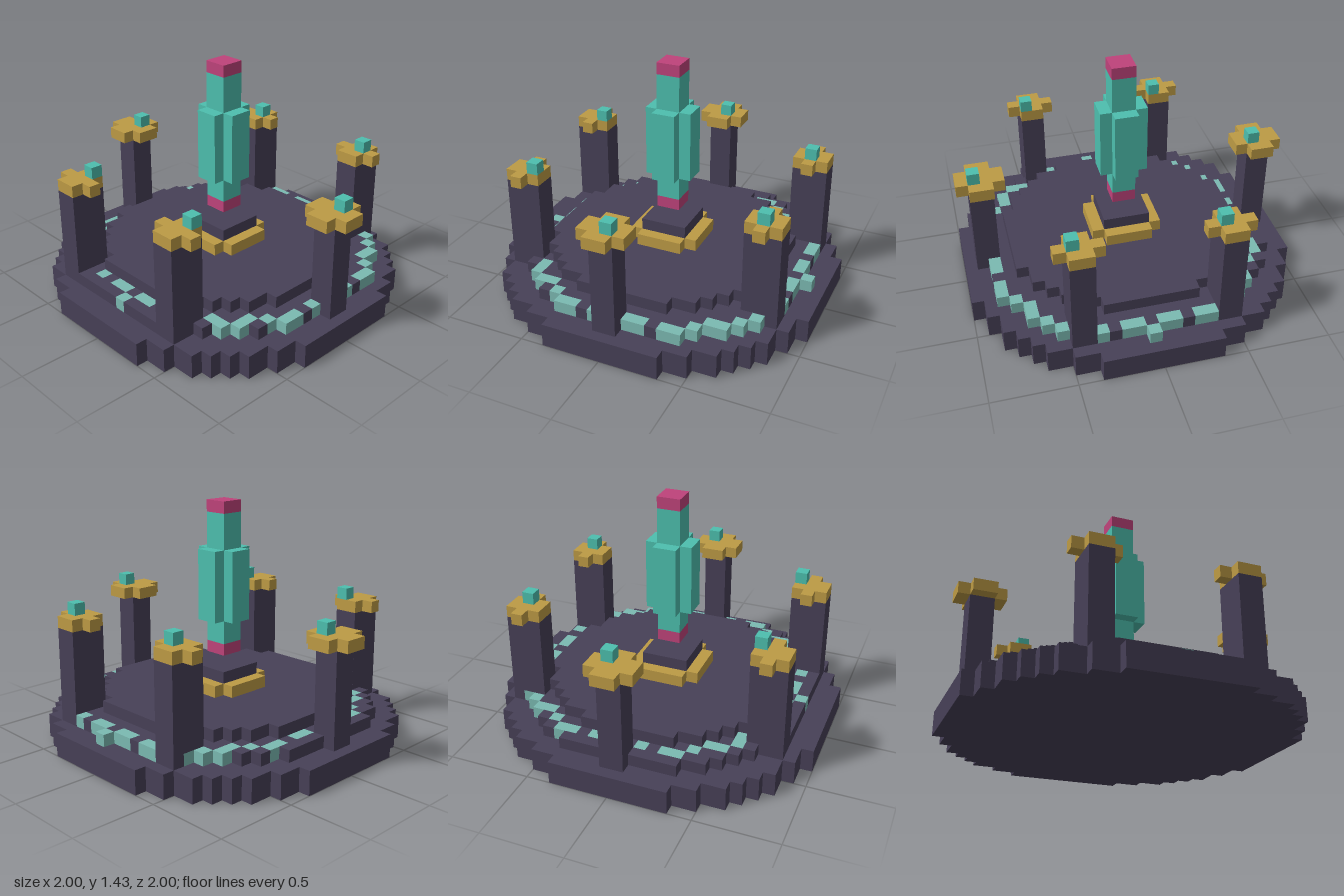
import * as THREE from 'three';
import { mergeGeometries } from 'three/addons/utils/BufferGeometryUtils.js';

const U = 1 / 14; // one block

const mat = (name, color) => {
  const m = new THREE.MeshStandardMaterial({ color });
  m.name = name;
  return m;
};

// Box between two corners, in blocks
function block(x0, x1, y0, y1, z0, z1) {
  const g = new THREE.BoxGeometry((x1 - x0) * U, (y1 - y0) * U, (z1 - z0) * U);
  return g.translate((x0 + x1) / 2 * U, (y0 + y1) / 2 * U, (z0 + z1) / 2 * U);
}

// Stepped round slab made of rows of blocks, leaving out the skipped cells
function disc(r, y0, y1, skip = new Set()) {
  const rows = [];
  for (let z = -r; z < r; z++) {
    const inside = x => Math.hypot(x + 0.5, z + 0.5) <= r + 0.5 && x >= -r && x < r && !skip.has(x + ',' + z);
    let start = null;
    for (let x = -r; x <= r; x++) {
      if (inside(x)) start ??= x;
      else if (start !== null) {
        rows.push(block(start, x, y0, y1, z, z + 1));
        start = null;
      }
    }
  }
  return rows;
}

export function createModel() {
  const stone = mat('dark stone', 0x474057);
  const gold = mat('gold', 0xbd9b45);
  const teal = mat('teal crystal', 0x4dbfae);
  const pale = mat('pale teal rune', 0x7bbab2);
  const pink = mat('pink crystal', 0xbf437b);

  const model = new THREE.Group();
  model.name = 'crystalShrine';
  const add = (name, material, boxes, parent = model) => {
    const mesh = new THREE.Mesh(mergeGeometries(boxes), material);
    mesh.name = name;
    parent.add(mesh);
  };

  // Broken ring of glowing inlays: [x, z] cells mirrored left and right
  const half = [
    [1, -12], [2, -12], [4, -12], [7, -11], [8, -10], [9, -9], [9, -8], [10, -7], [11, -6], [11, -5],
    [11, -3], [11, -2], [11, 1], [11, 3], [11, 4], [10, 5], [9, 6], [9, 7], [8, 8], [7, 8],
    [4, 10], [3, 10], [1, 10], [2, 10],
  ].filter(([x, z]) => !(x === 3 && z === 10));
  const cells = new Set(['0,-13', '0,11', '-3,-12'].filter(c => c !== '-3,-12'));
  for (const [x, z] of half) {
    cells.add(x + ',' + z);
    cells.add(-x + ',' + z);
  }
  // The ring's small irregularities along the back and front edges
  ['-5,-12', '-4,-12'].forEach(c => cells.add(c));
  const inlays = [...cells].map(c => {
    const [x, z] = c.split(',').map(Number);
    return block(x, x + 1, 2, 3, z, z + 1);
  });

  // Three stepped floors
  add('lowerFloor', stone, disc(14, 0, 2));
  add('middleFloor', stone, disc(12, 2, 3, cells));
  add('upperFloor', stone, disc(10, 3, 4));
  add('runeRing', pale, inlays);

  // Six pillars with cross-shaped caps and small gems: centre x, z range, gem cell
  const pillars = [
    [-12, -1, 1, -12, -1], [12, -1, 1, 12, -1],
    [-6, -12, -9, -6, -11], [6, -12, -9, 6, -11],
    [-6, 9, 12, -6, 9], [6, 9, 12, 6, 9],
  ];
  for (const [x, z0, z1, gx, gz] of pillars) {
    const pillar = new THREE.Group();
    pillar.name = 'pillar';
    model.add(pillar);
    const side = z1 - z0 === 2;
    add('pillarShaft', stone, [block(x - 1, x + 1, 2, 10, z0, z1)], pillar);
    const [c0, c1] = side ? [z0 - 1, z1 + 1] : [z0, z1]; // cap depth
    const [a0, a1] = [c0 + 1, c1 - 1];                   // cross arms
    add('pillarCap', gold, [
      block(x - 1, x + 1, 10, 11, c0, c1),
      block(x - 2, x - 1, 10, 11, a0, a1),
      block(x + 1, x + 2, 10, 11, a0, a1),
    ], pillar);
    add('pillarGem', teal, [block(gx, gx + 1, 11, 12, gz, gz + 1)], pillar);
  }

  // Pedestal with a gold border
  add('pedestal', stone, [block(-2, 2, 4, 6, -2, 2)]);
  add('pedestalTrim', gold, [
    block(-3, -2, 4, 5, -2, 2), block(2, 3, 4, 5, -2, 2),
    block(-2, 2, 4, 5, -3, -2), block(-2, 2, 4, 5, 2, 3),
  ]);

  // Floating crystal
  add('crystalBody', teal, [
    block(-1, 1, 8, 19, -1, 1),
    block(-2, -1, 10, 16, -1, 1), block(1, 2, 10, 16, -1, 1),
    block(-1, 1, 10, 16, -2, -1), block(-1, 1, 10, 16, 1, 2),
  ]);
  add('crystalTips', pink, [block(-1, 1, 7, 8, -1, 1), block(-1, 1, 19, 20, -1, 1)]);
  return model;
}
